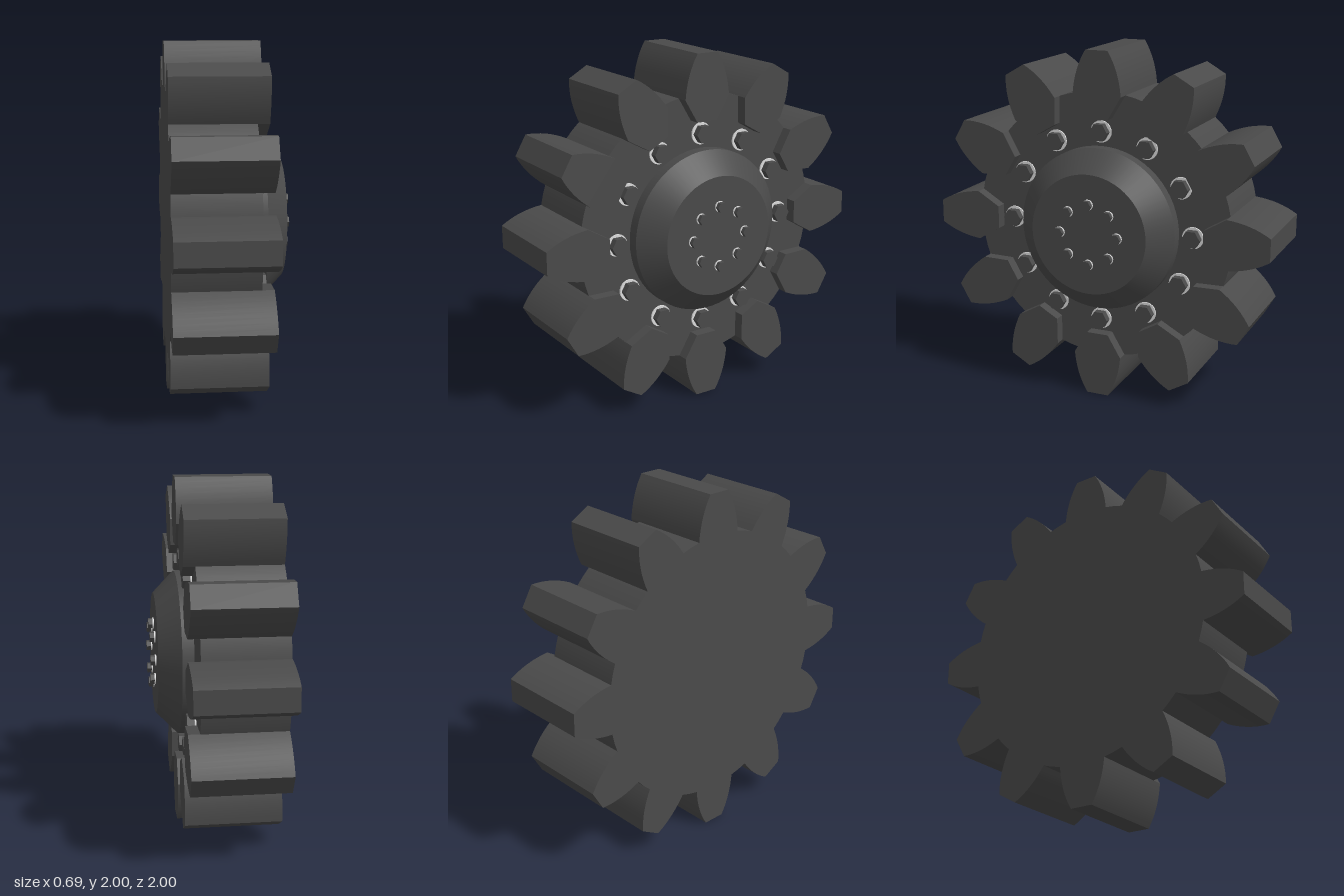
import * as THREE from 'three';
import { toCreasedNormals } from 'three/addons/utils/BufferGeometryUtils.js';

const BACK = -0.345, FACE = 0.125, TOOTH_FACE = 0.19, HUB_FACE = 0.31;

function material(name, color) {
  const m = new THREE.MeshStandardMaterial({ color });
  m.name = name;
  return m;
}

// Cylinder or cone along z between z0 and z1
function drum(name, r0, r1, z0, z1, sides, mat) {
  const g = new THREE.CylinderGeometry(r1, r0, z1 - z0, sides);
  g.rotateX(Math.PI / 2).translate(0, 0, (z0 + z1) / 2);
  const mesh = new THREE.Mesh(sides < 8 ? toCreasedNormals(g, 0.3) : g, mat);
  mesh.name = name;
  return mesh;
}

// Wedge root, bulging flanks and a flat tip
function toothGeometry() {
  const s = new THREE.Shape();
  s.moveTo(-0.065, 0.625);
  s.lineTo(0.065, 0.625);
  s.lineTo(0.143, 0.755);
  s.quadraticCurveTo(0.132, 0.895, 0.065, 1);
  s.lineTo(-0.065, 1);
  s.quadraticCurveTo(-0.132, 0.895, -0.143, 0.755);
  s.closePath();
  const g = new THREE.ExtrudeGeometry(s, { depth: TOOTH_FACE - BACK, bevelEnabled: false, curveSegments: 8 });
  g.translate(0, 0, BACK);
  return toCreasedNormals(g, 0.4);
}

// Ring of hexagonal bolts, each on a pale washer
function boltRing(name, count, ringRadius, z, size, washer, height, steel, pale) {
  const ring = new THREE.Group();
  ring.name = name;
  for (let i = 0; i < count; i++) {
    const a = (i / count) * Math.PI * 2;
    const bolt = new THREE.Group();
    bolt.name = name + 'Bolt';
    const head = drum('boltHead', size, size, z, z + height, 6, steel);
    head.rotation.z = Math.PI / 2;
    bolt.add(head, drum('washer', washer, washer, z, z + 0.008, 24, pale));
    bolt.position.set(Math.sin(a) * ringRadius, Math.cos(a) * ringRadius, 0);
    ring.add(bolt);
  }
  return ring;
}

export function createModel() {
  const steel = material('darkSteel', 0x4a4a4a);
  const pale = material('paleWasher', 0xdcdcdc);

  // The sprocket is built facing +z, then turned to face +x
  const sprocket = new THREE.Group();
  sprocket.name = 'sprocket';
  sprocket.add(drum('disc', 0.77, 0.77, BACK, FACE, 72, steel));

  // Twelve teeth
  const tooth = toothGeometry();
  for (let i = 0; i < 12; i++) {
    const mesh = new THREE.Mesh(tooth, steel);
    mesh.name = 'tooth';
    mesh.rotation.z = (i / 12) * Math.PI * 2;
    sprocket.add(mesh);
  }

  // Hub: straight skirt and tapered cap
  sprocket.add(
    drum('hubSkirt', 0.465, 0.465, FACE, TOOTH_FACE, 64, steel),
    drum('hubCap', 0.465, 0.342, TOOTH_FACE, HUB_FACE, 64, steel)
  );

  // Bolt rings on the disc and the hub
  sprocket.add(
    boltRing('outer', 12, 0.547, FACE, 0.053, 0.062, 0.048, steel, pale),
    boltRing('hub', 8, 0.172, HUB_FACE, 0.03, 0.031, 0.032, steel, pale)
  );

  sprocket.rotation.y = Math.PI / 2;
  sprocket.position.y = 1;
  const model = new THREE.Group();
  model.name = 'driveSprocket';
  model.add(sprocket);
  return model;
}
